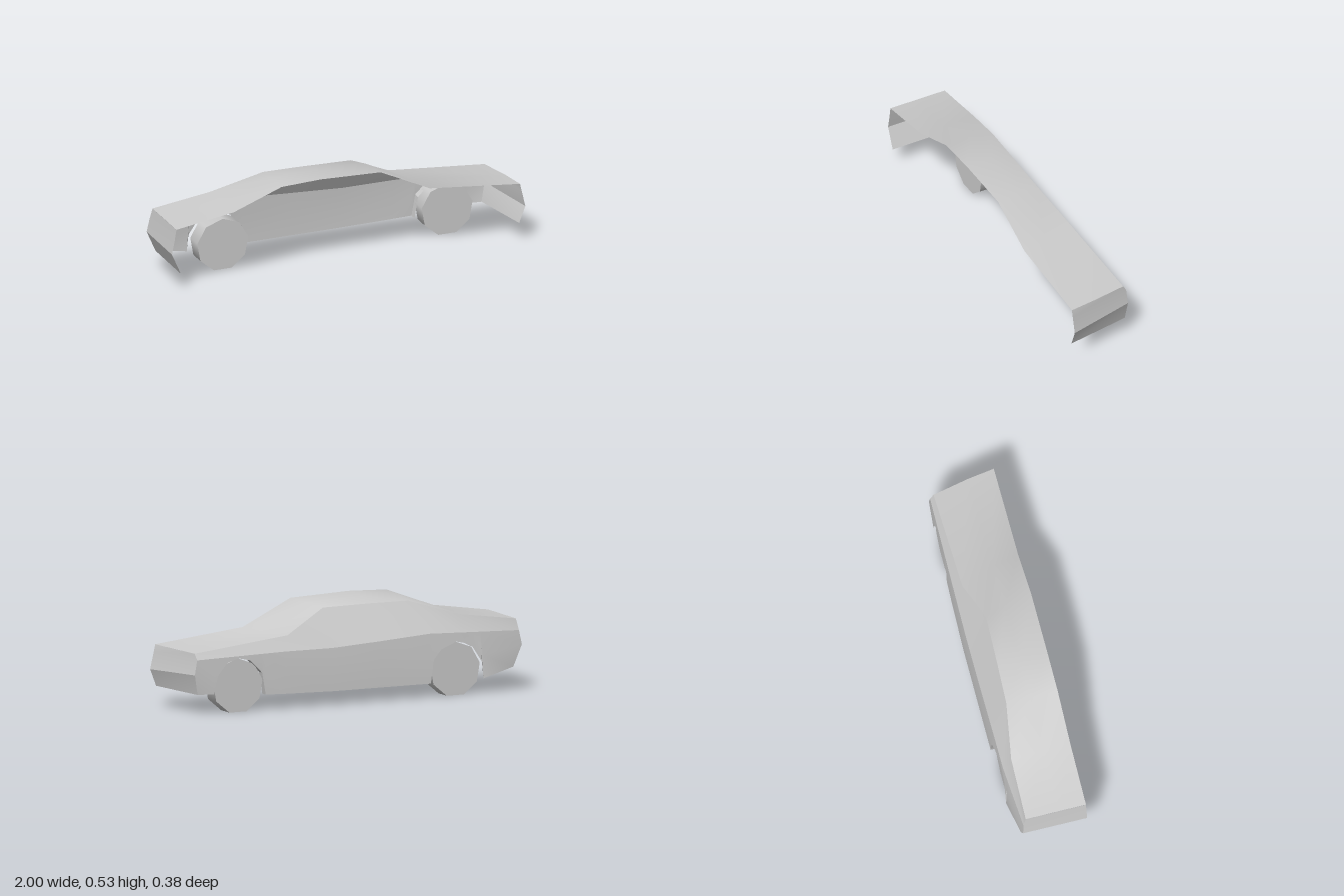
import * as THREE from 'three';
import { toCreasedNormals } from 'three/addons/utils/BufferGeometryUtils.js';

const material = new THREE.MeshStandardMaterial({ color: 0xcccccc, side: THREE.DoubleSide });
const CENTRE = 0.19; // the half body is open along this plane

// Skin a surface through rows of [x, y, z] points of equal length
function loft(name, rows, crease = 0.6) {
  const n = rows[0].length, index = [];
  for (let i = 0; i < rows.length - 1; i++) {
    for (let j = 0; j < n - 1; j++) {
      const a = i * n + j, c = a + n;
      index.push(a, a + 1, c, a + 1, c + 1, c);
    }
  }
  const geo = new THREE.BufferGeometry();
  geo.setAttribute('position', new THREE.Float32BufferAttribute(rows.flat(2), 3));
  geo.setIndex(index);
  const mesh = new THREE.Mesh(toCreasedNormals(geo, crease), material);
  mesh.name = name;
  return mesh;
}

// Point on a polyline at a given x
function at(line, x) {
  let i = 0;
  while (i < line.length - 2 && x > line[i + 1][0]) i++;
  const [a, b] = [line[i], line[i + 1]];
  const t = (x - a[0]) / (b[0] - a[0]);
  return [x, a[1] + (b[1] - a[1]) * t, a[2] + (b[2] - a[2]) * t];
}

// Lengthwise lines of the upper body
const centreLine = [[-0.975, 0.377], [-0.65, 0.425], [-0.38, 0.525], [-0.16, 0.533],
  [0.18, 0.52], [0.46, 0.385], [0.97, 0.33]].map(([x, y]) => [x, y, CENTRE]);
const roofEdge = [[-0.975, 0.375, -0.135], [-0.65, 0.42, -0.13], [-0.37, 0.505, -0.085],
  [-0.16, 0.505, -0.077], [0.12, 0.5, -0.068], [0.36, 0.38, -0.135], [0.91, 0.323, -0.15]];
const belt = [[-0.985, 0.315, -0.15], [-0.65, 0.33, -0.176], [-0.45, 0.337, -0.178],
  [-0.16, 0.318, -0.18], [0.12, 0.302, -0.18], [0.4, 0.302, -0.177], [0.905, 0.29, -0.17]];
const roofMiddle = centreLine.map((c, i) => {
  const e = roofEdge[i];
  return [c[0] + (e[0] - c[0]) * 0.35, c[1] + (e[1] - c[1]) * 0.18, 0.045];
});

// Outermost line of the lower body
const bulge = [[-1, 0.18, -0.155], [-0.75, 0.18, -0.187], [-0.45, 0.18, -0.19],
  [0.2, 0.18, -0.19], [0.5, 0.18, -0.181], [0.92, 0.18, -0.174]];

// Lower edge of the side, with both wheel arches
const hem = [[-0.76, 0.08], [-0.75, 0.17], [-0.7, 0.25], [-0.65, 0.275], [-0.605, 0.285],
  [-0.515, 0.25], [-0.47, 0.2], [-0.45, 0.075], [-0.16, 0.075], [0.12, 0.075], [0.4, 0.08],
  [0.51, 0.083], [0.53, 0.2], [0.6, 0.27], [0.665, 0.285], [0.73, 0.265], [0.785, 0.2], [0.81, 0.105]];

function sidePoint(x, y) {
  const b = at(belt, x), m = at(bulge, x);
  const t = Math.min(1, (b[1] - y) / (b[1] - m[1]));
  return [x, y, b[2] + (m[2] - b[2]) * t];
}

// Corner profiles from top to bottom
const leftCorner = [roofEdge[0], belt[0], [-1, 0.24, -0.155], [-0.95, 0.125, -0.155]];
const rightCorner = [roofEdge[6], belt[6], [0.92, 0.212, -0.173], [0.9, 0.106, -0.165]];

function wheel(name, x) {
  const r = 0.146;
  const geo = new THREE.CylinderGeometry(r, r, 0.096, 9);
  geo.rotateX(-Math.PI / 2);
  const mesh = new THREE.Mesh(geo, material);
  mesh.position.set(x, r * Math.cos(Math.PI / 9), -0.117);
  mesh.name = name;
  return mesh;
}

export function createModel() {
  const car = new THREE.Group();
  car.name = 'halfCar';

  // Bonnet, roof, screens and boot as one top skin, then the cabin side
  car.add(loft('topSkin', [centreLine, roofMiddle, roofEdge]));
  car.add(loft('upperSide', [roofEdge, belt]));

  // Lower side panel
  const beltRow = hem.map(([x]) => at(belt, x));
  const middleRow = hem.map(([x, y], i) => sidePoint(x, Math.max(0.18, (y + beltRow[i][1]) / 2)));
  const hemRow = hem.map(([x, y]) => sidePoint(x, y));
  car.add(loft('lowerSide', [beltRow, middleRow, hemRow].map(
    (row, i) => [leftCorner[i + 1], ...row, rightCorner[i + 1]])));

  // End panels
  const leftCentre = leftCorner.map(([x, y]) => [x, y, CENTRE]);
  const rightCentre = [[0.97, 0.33], [0.979, 0.29], [1, 0.2], [0.965, 0.11]]
    .map(([x, y]) => [x, y, CENTRE]);
  car.add(loft('leftEndPanel', [leftCorner, leftCentre], 0.3));
  car.add(loft('rightEndPanel', [rightCentre, rightCorner], 0.3));

  // Inward lips on the sill side of each arch
  for (const [name, from, to] of [['leftArchLip', 5, 8], ['rightArchLip', 11, 14]]) {
    const outer = hemRow.slice(from, to);
    car.add(loft(name, [outer, outer.map(([x, y]) => [x, y, -0.14])]));
  }

  car.add(wheel('leftEndWheel', -0.605), wheel('rightEndWheel', 0.665));
  return car;
}
